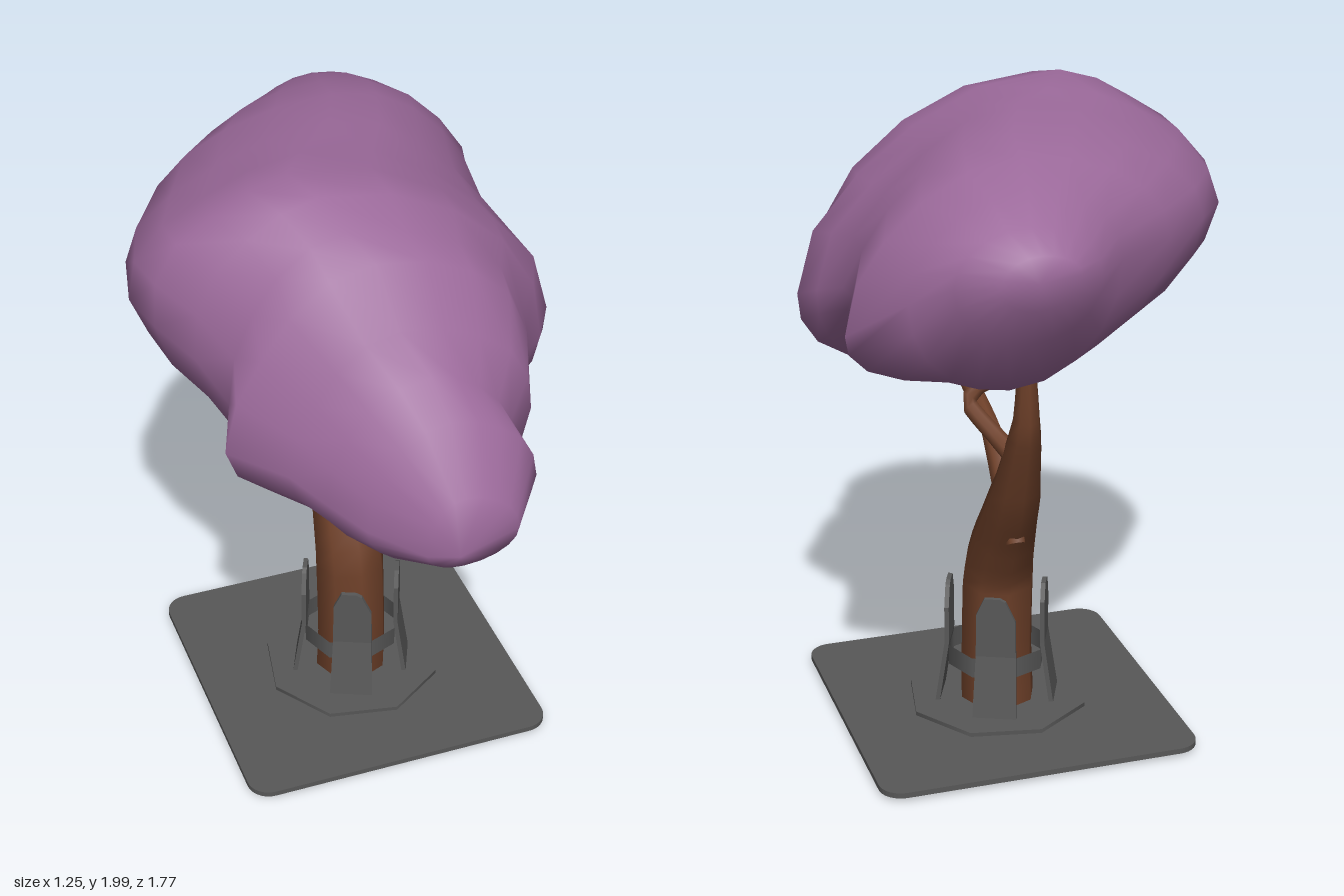
import * as THREE from 'three';

const bark = new THREE.MeshStandardMaterial({ color: 0x6e4029, side: THREE.DoubleSide });
const leaf = new THREE.MeshStandardMaterial({ color: 0x9c6a9b });
const iron = new THREE.MeshStandardMaterial({ color: 0x585858, side: THREE.DoubleSide });
bark.name = 'bark brown';
leaf.name = 'blossom purple';
iron.name = 'iron grey';

const CX = 0.04, CZ = -0.057; // trunk and base centre

function add(parent, name, geometry, material) {
  const mesh = new THREE.Mesh(geometry, material);
  mesh.name = name;
  parent.add(mesh);
  return mesh;
}

// Tapered limb through points [x, y, z, radius]
function limb(points, segments, sides) {
  const path = points.map(p => new THREE.Vector3(p[0], p[1], p[2]));
  const curve = new THREE.CatmullRomCurve3(path, false, 'catmullrom', 0.3);
  const geo = new THREE.TubeGeometry(curve, segments, 1, sides);
  const pos = geo.attributes.position, v = new THREE.Vector3();
  for (let i = 0; i <= segments; i++) {
    const u = i / segments, centre = curve.getPointAt(u);
    const t = curve.getUtoTmapping(u) * (points.length - 1);
    const k = Math.min(Math.floor(t), points.length - 2);
    const r = THREE.MathUtils.lerp(points[k][3], points[k + 1][3], t - k);
    for (let j = 0; j <= sides; j++) {
      const n = i * (sides + 1) + j;
      v.fromBufferAttribute(pos, n).sub(centre).multiplyScalar(r).add(centre);
      pos.setXYZ(n, v.x, v.y, v.z);
    }
  }
  return geo;
}

// Crown cross-sections: z, then left, top, right and bottom points as x, y
const SECTIONS = [
  [-0.87, 0.06, 1.68, 0.17, 1.74, 0.28, 1.66, 0.18, 1.59],
  [-0.81, -0.02, 1.65, 0.18, 1.80, 0.39, 1.65, 0.18, 1.48],
  [-0.69, -0.12, 1.65, 0.15, 1.86, 0.48, 1.58, 0.20, 1.31],
  [-0.55, -0.31, 1.65, 0.12, 1.91, 0.62, 1.46, 0.20, 1.29],
  [-0.40, -0.47, 1.65, 0.10, 1.945, 0.56, 1.52, 0.12, 1.30],
  [-0.20, -0.60, 1.63, 0.02, 1.97, 0.54, 1.48, 0.25, 1.27],
  [-0.05, -0.63, 1.60, -0.12, 1.98, 0.58, 1.43, 0.36, 1.20],
  [0.08, -0.59, 1.58, -0.20, 2.00, 0.61, 1.38, 0.22, 1.13],
  [0.19, -0.51, 1.52, -0.15, 1.97, 0.54, 1.36, 0.08, 1.085],
  [0.29, -0.45, 1.42, -0.10, 1.90, 0.44, 1.38, -0.03, 1.06],
  [0.39, -0.50, 1.33, -0.05, 1.85, 0.41, 1.38, -0.04, 1.035],
  [0.49, -0.35, 1.28, -0.02, 1.69, 0.38, 1.34, -0.02, 1.005],
  [0.60, -0.28, 1.25, 0.03, 1.60, 0.28, 1.30, 0.00, 1.02],
  [0.70, -0.19, 1.20, 0.05, 1.51, 0.31, 1.27, 0.00, 1.06],
  [0.82, -0.06, 1.17, 0.05, 1.34, 0.21, 1.20, 0.05, 1.11],
];

// Crown swellings and hollows: angle around the section, z, strength
const LUMPS = [
  [0.8, -0.2, -0.08], [0.75, 0.05, -0.06], [0.6, 0.35, 0.06], [5.6, 0.0, 0.07],
  [5.4, 0.36, -0.1], [2.5, 0.46, -0.1], [2.15, 0.06, -0.08], [2.65, 0.1, 0.07], [3.9, 0.46, -0.13],
  [2.3, -0.2, -0.06], [0.7, -0.5, -0.05], [1.0, 0.65, -0.04], [5.6, -0.5, 0.06],
];

function crownGeometry() {
  const N = 20, pos = [], idx = [];
  for (const [z, lx, ly, tx, ty, rx, ry, bx, by] of SECTIONS) {
    for (let j = 0; j < N; j++) {
      // Each quarter is an elliptic arc between two extreme points
      const a = (j / N) * Math.PI * 2, c = Math.cos(a), s = Math.sin(a);
      let swell = 1;
      for (const [la, lz, k] of LUMPS) swell += k * Math.exp(-(((a - la) / 0.42) ** 2) - ((z - lz) / 0.16) ** 2);
      const side = c >= 0 ? [rx, ry] : [lx, ly];
      const pole = s >= 0 ? [tx, ty] : [bx, by];
      const x = pole[0] + (side[0] - pole[0]) * Math.abs(c) * swell;
      const y = side[1] + (pole[1] - side[1]) * Math.abs(s) * swell;
      pos.push(x, y, z);
    }
  }
  const M = SECTIONS.length, back = M * N, front = back + 1;
  pos.push(0.18, 1.67, -0.885, 0.01, 1.2, 0.885);
  for (let j = 0; j < N; j++) {
    const k = (j + 1) % N;
    for (let i = 0; i < M - 1; i++) {
      const a = i * N + j, b = i * N + k, c = a + N, d = b + N;
      idx.push(a, b, c, b, d, c);
    }
    idx.push(back, k, j, front, (M - 1) * N + j, (M - 1) * N + k);
  }
  const geo = new THREE.BufferGeometry();
  geo.setAttribute('position', new THREE.Float32BufferAttribute(pos, 3));
  geo.setIndex(idx);
  geo.computeVertexNormals();
  return geo;
}

function plateGeometry() {
  const h = 0.4975, r = 0.07, s = new THREE.Shape();
  s.absarc(h - r, h - r, r, 0, Math.PI / 2);
  s.absarc(r - h, h - r, r, Math.PI / 2, Math.PI);
  s.absarc(r - h, r - h, r, Math.PI, Math.PI * 1.5);
  s.absarc(h - r, r - h, r, Math.PI * 1.5, Math.PI * 2);
  return new THREE.ExtrudeGeometry(s, { depth: 0.017, bevelEnabled: false, curveSegments: 4 }).rotateX(-Math.PI / 2);
}

// Upright guard slat with clipped top corners, flaring outwards at the foot
function slatGeometry() {
  const outline = [[-0.07, 0], [0.066, 0], [0.062, 0.2], [0.06, 0.32], [0.03, 0.385],
    [0.012, 0.395], [-0.035, 0.395], [-0.06, 0.34], [-0.062, 0.2]];
  const shape = new THREE.Shape(outline.map(p => new THREE.Vector2(p[0], p[1])));
  const geo = new THREE.ExtrudeGeometry(shape, { depth: 0.014, bevelEnabled: false });
  const pos = geo.attributes.position;
  for (let i = 0; i < pos.count; i++) {
    pos.setZ(i, pos.getZ(i) + 0.03 * Math.max(0, 1 - pos.getY(i) / 0.2));
  }
  geo.computeVertexNormals();
  return geo;
}

export function createModel() {
  const tree = new THREE.Group();
  tree.name = 'tree';

  // Paving plate, collar and guard
  const base = new THREE.Group();
  base.name = 'base';
  base.position.set(CX, 0, CZ);
  tree.add(base);
  add(base, 'pavingPlate', plateGeometry(), iron).position.y = 0.018;
  const collar = add(base, 'collar', new THREE.CylinderGeometry(0.285, 0.285, 0.014, 8), iron);
  collar.position.y = 0.041;
  collar.rotation.y = 0.2;
  const slat = slatGeometry();
  for (let i = 0; i < 4; i++) {
    const arm = new THREE.Group();
    arm.name = 'guardSlat' + (i + 1);
    arm.rotation.y = i * Math.PI / 2 - 0.42;
    add(arm, 'slat', slat, iron).position.set(0.015, 0.045, 0.14);
    base.add(arm);
  }
  const band = add(base, 'guardBand', new THREE.CylinderGeometry(0.155, 0.155, 0.065, 8, 1, true), iron);
  band.position.y = 0.198;
  band.rotation.y = Math.PI / 8 - 0.42;

  // Trunk and branches
  add(tree, 'trunk', limb([
    [CX, 0.012, -0.066, 0.118], [CX, 0.2, -0.055, 0.114], [CX, 0.48, -0.075, 0.113], [CX, 0.62, -0.14, 0.1],
    [CX, 0.8, -0.245, 0.08], [CX, 1.05, -0.343, 0.044], [CX, 1.27, -0.348, 0.024], [CX, 1.45, -0.34, 0.02],
  ], 24, 8), bark);
  add(tree, 'frontBranch', limb([
    [CX, 0.64, -0.25, 0.03], [CX, 0.78, -0.165, 0.046], [CX, 0.917, 0, 0.031],
    [CX, 0.99, 0.24, 0.03], [CX, 1.05, 0.36, 0.026], [CX, 1.16, 0.45, 0.02],
  ], 18, 8), bark);
  add(tree, 'sideBranch', limb([
    [CX, 0.92, -0.33, 0.034], [0.09, 0.98, -0.23, 0.028], [0.15, 1.06, -0.135, 0.025],
    [0.11, 1.11, -0.125, 0.024], [-0.02, 1.15, -0.14, 0.022], [-0.09, 1.2, -0.147, 0.02], [-0.1, 1.36, -0.135, 0.016],
  ], 20, 8), bark);

  add(tree, 'crown', crownGeometry(), leaf);
  return tree;
}
